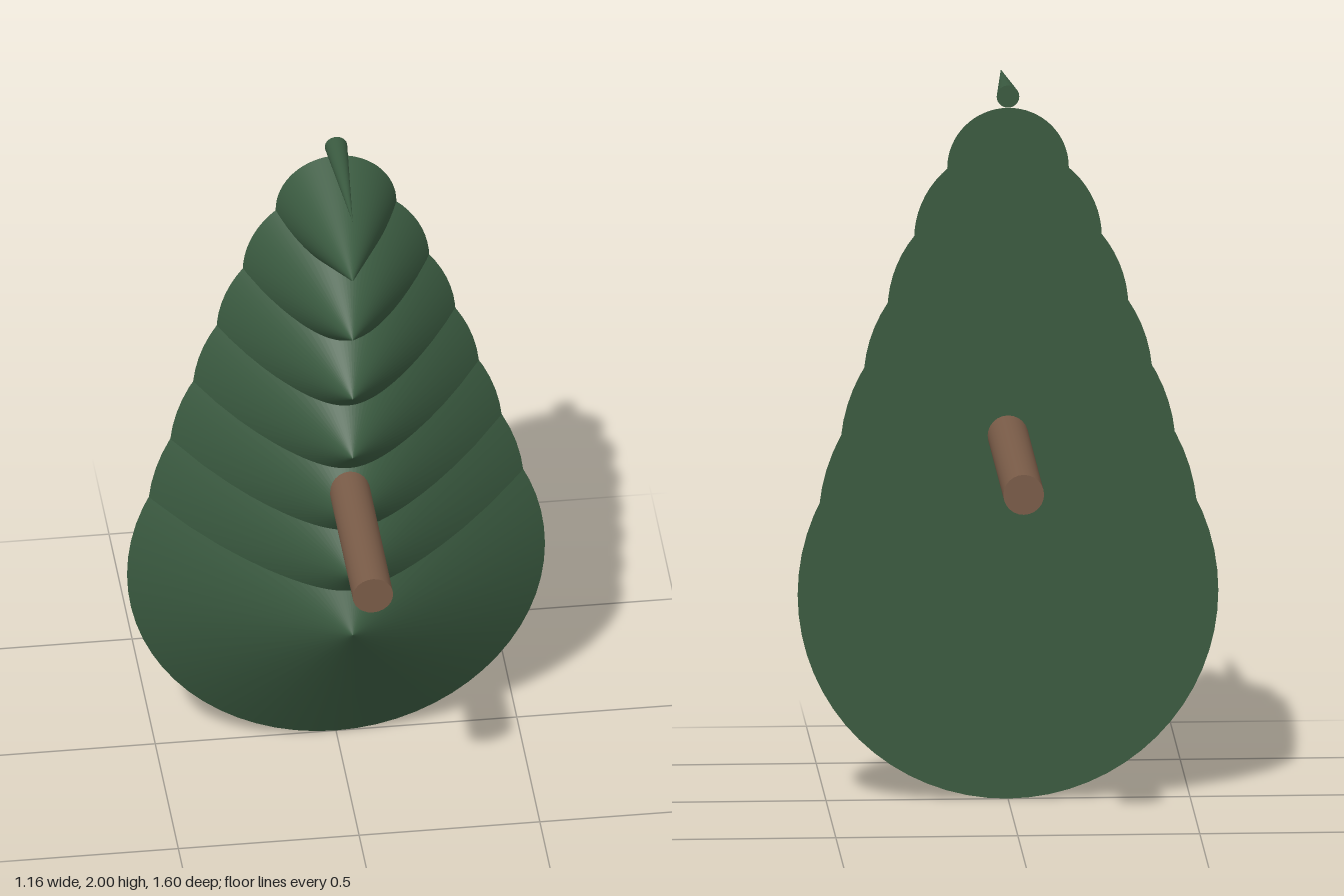
import * as THREE from 'three';

export function createModel() {
  const model = new THREE.Group();
  const green = new THREE.MeshStandardMaterial({ color: 0x3a5a40 });
  const brown = new THREE.MeshStandardMaterial({ color: 0x7a5c48 });

  // Foliage: overlapping cones pointing forward, shrinking towards the top
  const depth = 0.365;
  const radii = [0.578, 0.521, 0.461, 0.397, 0.331, 0.258, 0.167, 0.031];
  const foliage = new THREE.Group();
  foliage.name = 'foliage';
  radii.forEach((radius, i) => {
    const geometry = new THREE.ConeGeometry(radius, depth, 64);
    geometry.rotateX(Math.PI / 2);
    const tier = new THREE.Mesh(geometry, green);
    tier.name = `foliageTier${i + 1}`;
    tier.position.set(0, 0.58 + i * 0.1985, depth / 2);
    foliage.add(tier);
  });
  model.add(foliage);

  // Trunk: a rod running front to back through the foliage
  const trunkGeometry = new THREE.CylinderGeometry(0.056, 0.056, 1.6, 24);
  trunkGeometry.rotateX(Math.PI / 2);
  const trunk = new THREE.Mesh(trunkGeometry, brown);
  trunk.name = 'trunk';
  trunk.position.y = 1.02;
  model.add(trunk);

  return model;
}
